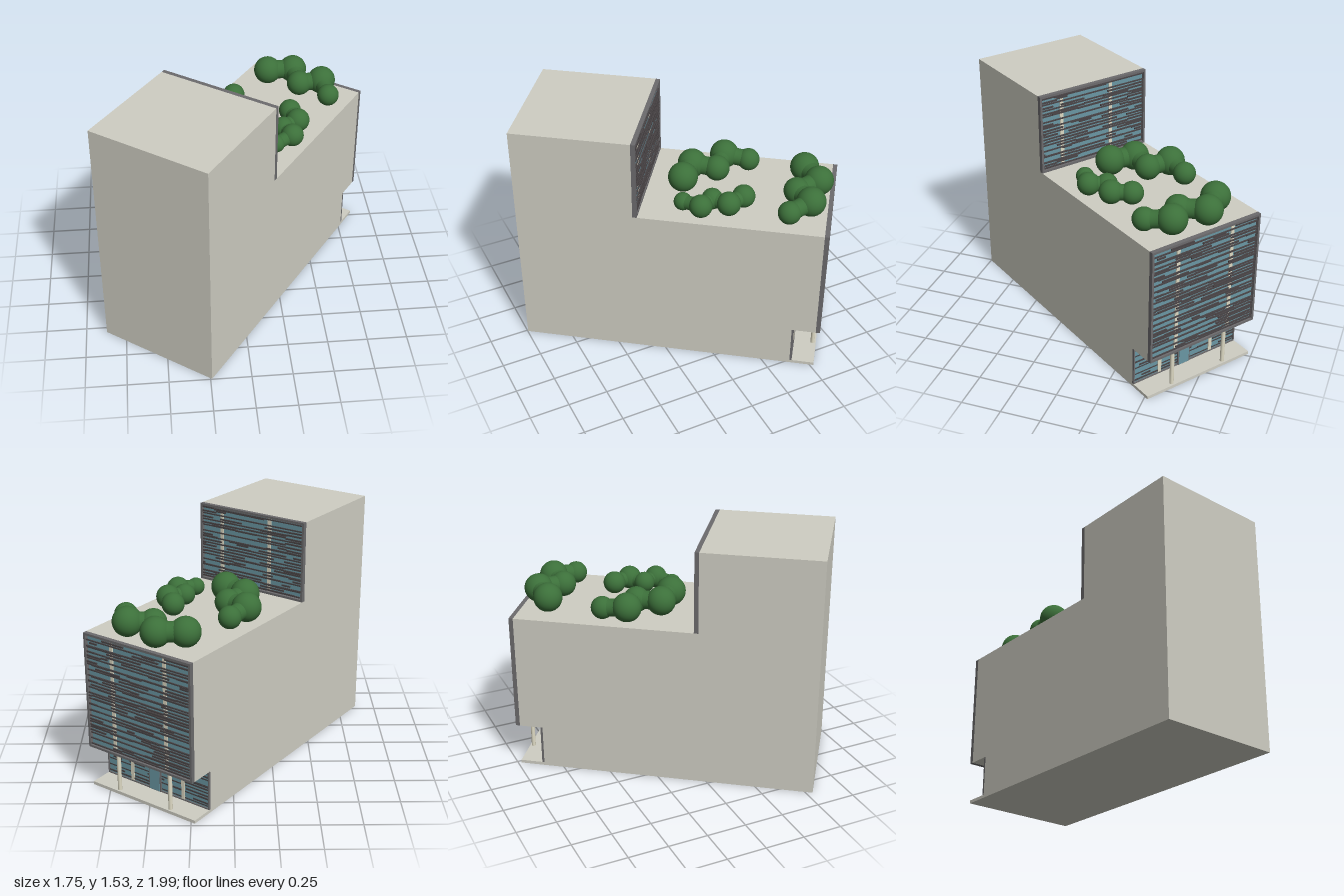
import * as THREE from 'three';
import { mergeGeometries } from 'three/addons/utils/BufferGeometryUtils.js';

const W = 0.39, L = 0.949, ROOF = 1.02, TOP = 1.53, SOFFIT = 0.275;
const mat = (color) => new THREE.MeshStandardMaterial({ color });
const wall = mat(0xcfcec3), frameGrey = mat(0x6c6b6d), glass = mat(0x6a97a3);
const slatDark = mat(0x4a4547), cream = mat(0xdedac4), green = mat(0x3c703a);

// small seeded generator
let seed = 7;
const rand = () => (seed = (seed * 16807) % 2147483647) / 2147483647;

function add(parent, name, geometry, material) {
  const mesh = new THREE.Mesh(geometry, material);
  mesh.name = name;
  parent.add(mesh);
  return mesh;
}

// box from its min and max corners
function box(x0, x1, y0, y1, z0, z1) {
  return new THREE.BoxGeometry(x1 - x0, y1 - y0, z1 - z0)
    .translate((x0 + x1) / 2, (y0 + y1) / 2, (z0 + z1) / 2);
}

// glazed wall facing -z, its outer plane at z: pane, posts, broken slats and border
function facade(name, z, y0, y1, posts, rowStep, cover, border, depth) {
  const g = new THREE.Group();
  g.name = name;
  const xi = W - border, yb = y0 + border, yt = y1 - border;
  add(g, 'glass', box(-xi, xi, yb, yt, z + depth - 0.006, z + depth + 0.002), glass);
  const postGeo = posts.map((x) => box(x - 0.012, x + 0.012, yb, yt, z + depth - 0.012, z + depth));
  add(g, 'posts', mergeGeometries(postGeo), cream);

  const slats = [];
  const rows = Math.round((yt - yb) / rowStep);
  for (let i = 0; i < rows; i++) {
    const y = yb + (i + 0.5) * (yt - yb) / rows;
    // thin continuous rail
    if (i % 2 === 0) slats.push(box(-xi, xi, y - 0.004, y + 0.004, z + 0.006, z + 0.013));
    // staggered boards of varied length
    for (let x = -xi; x < xi;) {
      const end = Math.min(xi, x + 0.05 + rand() * 0.16);
      if (rand() < cover && end - x > 0.01) {
        const dy = (rand() - 0.5) * rowStep * 0.5;
        slats.push(box(x, end, y + dy - 0.005, y + dy + 0.005, z + 0.004, z + 0.011));
      }
      x = end;
    }
  }
  add(g, 'slats', mergeGeometries(slats), slatDark);

  add(g, 'frame', mergeGeometries([
    box(-W, -xi, y0, y1, z, z + depth), box(xi, W, y0, y1, z, z + depth),
    box(-xi, xi, y0, yb, z, z + depth), box(-xi, xi, yt, y1, z, z + depth),
  ]), frameGrey);
  return g;
}

// row of rounded shrubs [x, z, radius] joined by pinched necks
function hedge(name, balls) {
  const geos = [];
  const at = ([x, z, r]) => new THREE.Vector3(x, ROOF + r * 0.9, z);
  balls.forEach((b, i) => {
    const p = at(b);
    geos.push(new THREE.SphereGeometry(b[2], 32, 20).translate(p.x, p.y, p.z));
    if (i === 0) return;
    const a = balls[i - 1], q = at(a), dir = p.clone().sub(q), len = dir.length();
    const profile = [];
    for (let k = 0; k <= 10; k++) {
      const t = k / 10;
      const r = THREE.MathUtils.lerp(a[2], b[2], t) * (0.86 - 0.18 * Math.sin(Math.PI * t));
      profile.push(new THREE.Vector2(r, t * len));
    }
    const turn = new THREE.Quaternion().setFromUnitVectors(new THREE.Vector3(0, 1, 0), dir.normalize());
    geos.push(new THREE.LatheGeometry(profile, 24).applyQuaternion(turn).translate(q.x, q.y, q.z));
  });
  const mesh = new THREE.Mesh(mergeGeometries(geos), green);
  mesh.name = name;
  return mesh;
}

export function createModel() {
  const model = new THREE.Group();
  model.name = 'terracedBuilding';

  // the building stands turned on its plot
  const building = new THREE.Group();
  building.name = 'building';
  building.rotation.y = -0.627;
  model.add(building);

  // stepped body: side profile (z, y) extruded across the width
  const profile = [[L, 0], [L, TOP], [0.222, TOP], [0.222, ROOF], [-0.922, ROOF],
    [-0.922, SOFFIT], [-0.773, SOFFIT], [-0.773, 0]].map(([z, y]) => new THREE.Vector2(z, y));
  const body = new THREE.ExtrudeGeometry(new THREE.Shape(profile), { depth: 2 * W, bevelEnabled: false });
  add(building, 'body', body.rotateY(-Math.PI / 2).translate(W, 0, 0), wall);

  // entrance slab and porch columns
  add(building, 'entranceSlab', box(-W, W, 0, 0.02, -0.927, -0.77), wall);
  for (const x of [-0.195, 0.195]) {
    const h = SOFFIT - 0.02;
    add(building, 'porchColumn', new THREE.CylinderGeometry(0.013, 0.013, h, 20)
      .translate(x, 0.02 + h / 2, -0.905), cream);
  }

  // three glazed walls
  building.add(facade('towerFacade', 0.195, ROOF, TOP, [-0.13, 0.23], 0.019, 0.6, 0.014, 0.027));
  building.add(facade('mainFacade', -L, SOFFIT, ROOF, [-0.195, 0.195], 0.019, 0.6, 0.014, 0.027));
  building.add(facade('entranceFacade', -0.787, 0.02, SOFFIT, [-0.195, 0.195], 0.021, 0.3, 0.008, 0.014));

  // entrance door
  add(building, 'doorFrame', box(-0.03, 0.06, 0.02, 0.185, -0.79, -0.78), frameGrey);
  add(building, 'door', box(-0.022, 0.052, 0.024, 0.177, -0.793, -0.78), glass);

  // roof garden
  model.add(hedge('backHedge', [[0.27, -0.73, 0.09], [0.44, -0.73, 0.09], [0.46, -0.56, 0.08],
    [0.61, -0.57, 0.09], [0.63, -0.41, 0.07]]));
  model.add(hedge('rightHedge', [[0.02, -0.47, 0.07], [-0.08, -0.35, 0.09], [0.03, -0.24, 0.08],
    [-0.075, -0.12, 0.09], [0.04, 0, 0.092]]));
  model.add(hedge('leftHedge', [[0.36, -0.25, 0.07], [0.395, -0.13, 0.073], [0.295, -0.07, 0.065],
    [0.34, 0.03, 0.07], [0.23, 0.095, 0.055]]));
  return model;
}
